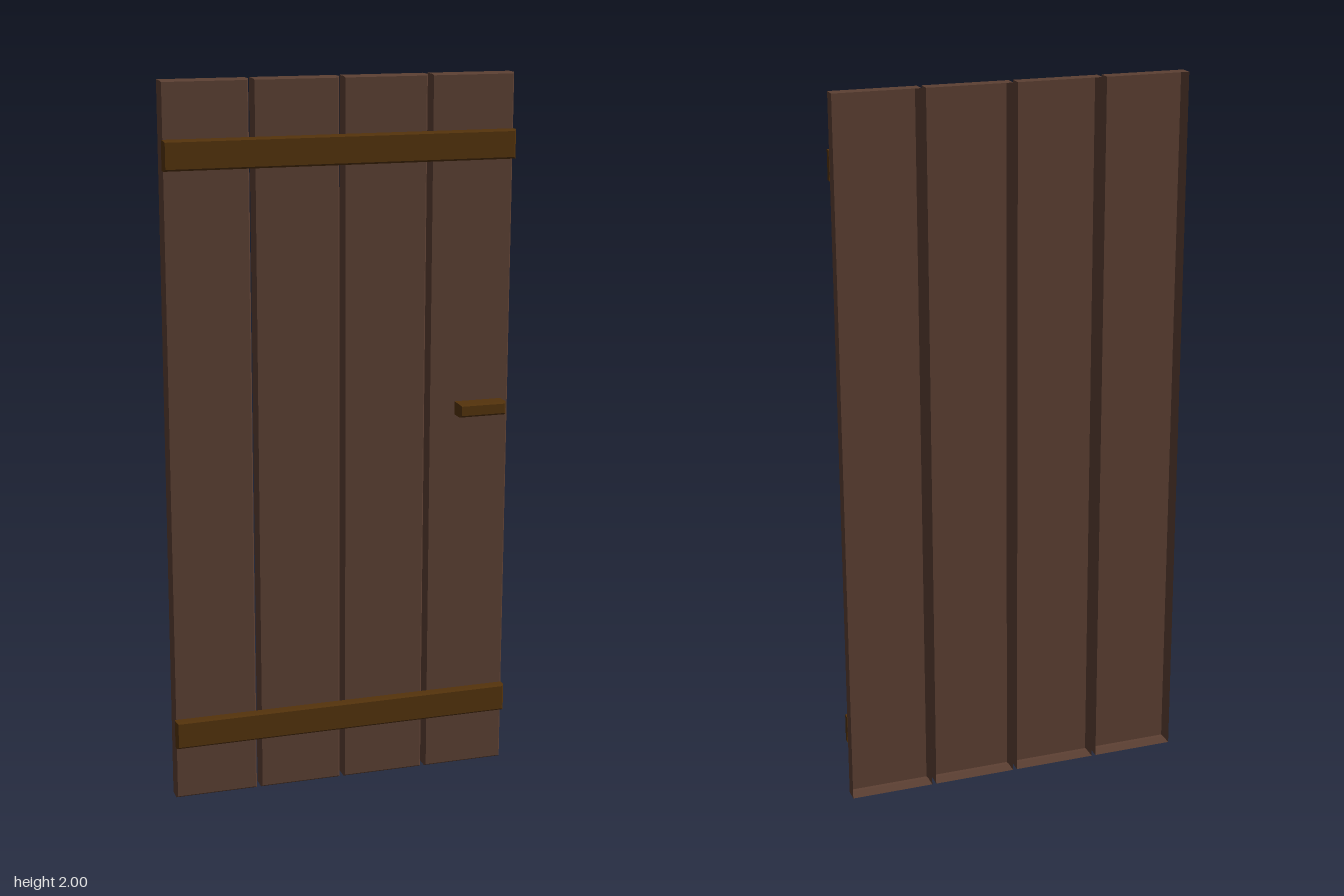
import * as THREE from 'three';

// Open-backed slab with a chamfered front rim: back rim, shoulder and front rim, then a cap
function slab(width, height, zBack, zFront, chamfer) {
  const ring = (inset, z) => {
    const x = width / 2 - inset, y = height / 2 - inset;
    return [[-x, -y, z], [x, -y, z], [x, y, z], [-x, y, z]];
  };
  const rings = [ring(0, zBack), ring(0, zFront - chamfer), ring(chamfer, zFront)];
  const positions = [];
  const quad = (a, b, c, d) => positions.push(...a, ...b, ...c, ...a, ...c, ...d);
  for (let r = 0; r < 2; r++) {
    for (let i = 0; i < 4; i++) {
      const j = (i + 1) % 4;
      quad(rings[r][i], rings[r][j], rings[r + 1][j], rings[r + 1][i]);
    }
  }
  quad(...rings[2]);
  const geometry = new THREE.BufferGeometry();
  geometry.setAttribute('position', new THREE.Float32BufferAttribute(positions, 3));
  geometry.computeVertexNormals();
  return geometry;
}

export function createModel() {
  const door = new THREE.Group();
  door.name = 'plankDoor';

  const plankWood = new THREE.MeshStandardMaterial({ color: 0x5c4033, side: THREE.DoubleSide });
  plankWood.name = 'plank brown';
  const trimWood = new THREE.MeshStandardMaterial({ color: 0x54330c, side: THREE.DoubleSide });
  trimWood.name = 'trim brown';

  const add = (name, geometry, material, x, y) => {
    const mesh = new THREE.Mesh(geometry, material);
    mesh.name = name;
    mesh.position.set(x, y, 0);
    door.add(mesh);
  };

  // Four upright planks with narrow gaps
  const plank = slab(0.235, 2, -0.045, -0.002, 0.004);
  for (let i = 0; i < 4; i++) add(`plank${i + 1}`, plank, plankWood, (i - 1.5) * 0.247, 1);

  // Cross battens over the front
  const batten = slab(0.976, 0.08, -0.002, 0.022, 0.005);
  add('lowerBatten', batten, trimWood, 0, 0.197);
  add('upperBatten', batten, trimWood, 0, 1.809);

  // Handle on the door's left side
  add('handle', slab(0.137, 0.037, -0.002, 0.045, 0.005), trimWood, 0.398, 1.077);

  return door;
}
